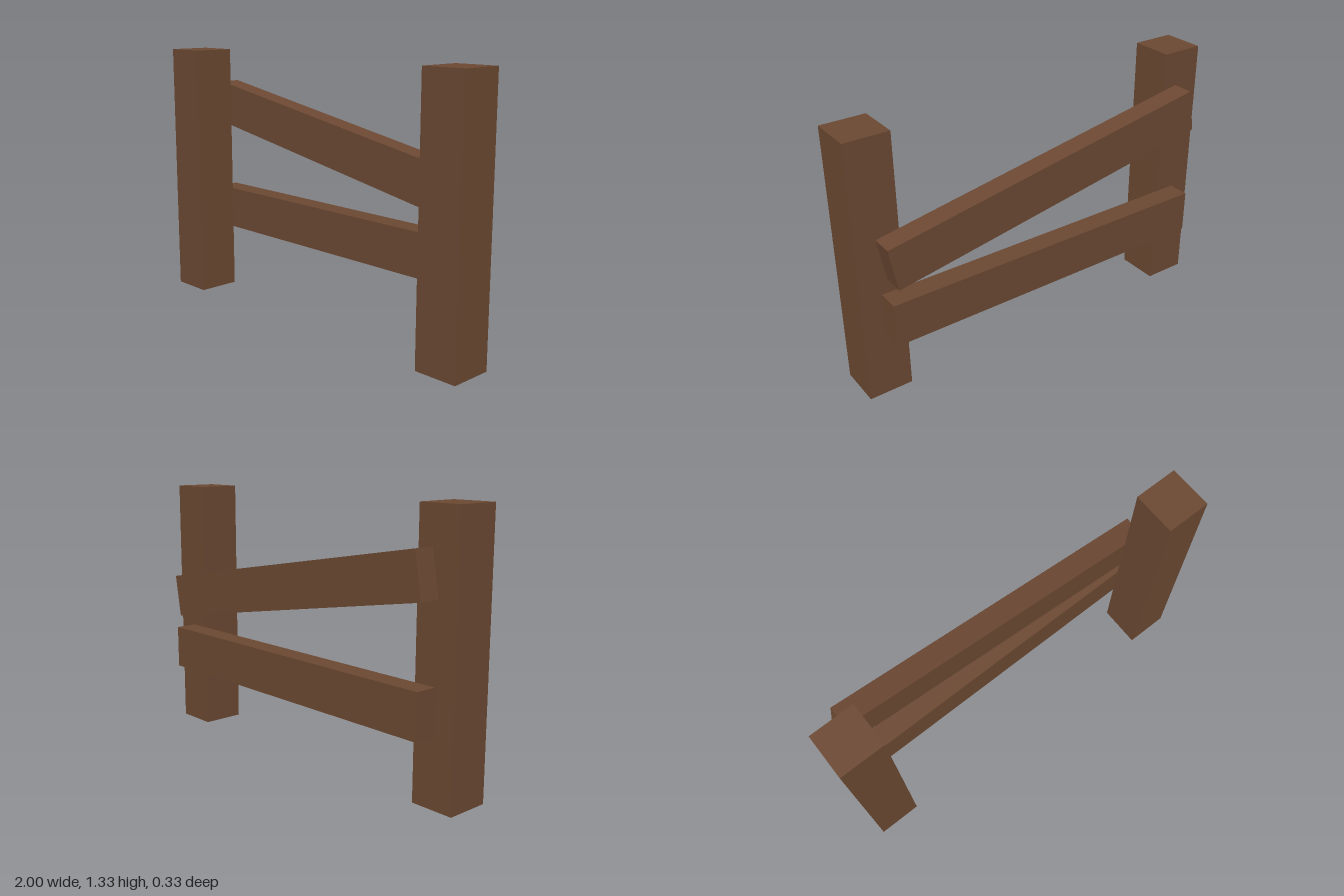
import * as THREE from 'three';

export function createModel() {
  const group = new THREE.Group();
  const wood = new THREE.MeshStandardMaterial({ color: 0x6b4832, flatShading: true });

  const T = 0.222; // timber width
  const H = 1.333; // post height
  const D = 0.111; // rail thickness

  function beam(name, size, position, tilt = 0) {
    const mesh = new THREE.Mesh(new THREE.BoxGeometry(...size), wood);
    mesh.name = name;
    mesh.position.set(...position);
    mesh.rotation.z = tilt;
    group.add(mesh);
  }

  // Square posts at both ends
  for (const [name, side] of [['leftPost', 1], ['rightPost', -1]]) {
    beam(name, [T, H, T], [side * (1 - T / 2), H / 2, D / 2]);
  }

  // Rails fixed to the back of the posts: one level, one sagging to the left
  const railZ = -D;
  beam('lowerRail', [1.778, T, D], [0, 0.444, railZ]);
  beam('slantedUpperRail', [1.778, T, D], [0, 0.889, railZ], THREE.MathUtils.degToRad(-10));

  return group;
}
